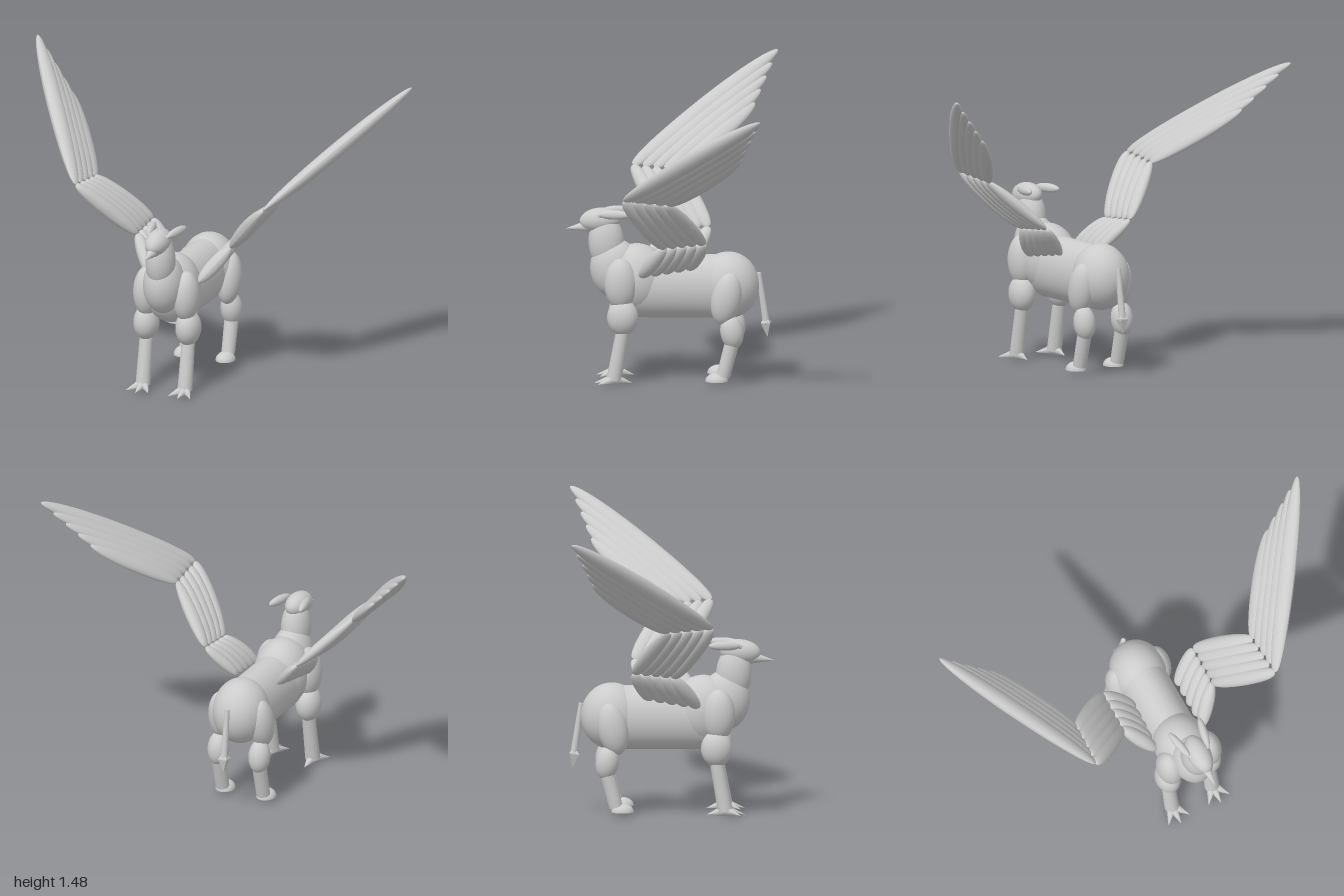
import * as THREE from 'three';

const V = (x, y, z) => new THREE.Vector3(x, y, z);
const UP = V(0, 1, 0);

export function createModel() {
  const model = new THREE.Group();
  model.name = 'wingedBeast';
  const grey = new THREE.MeshStandardMaterial({ color: 0xcccccc });
  const flat = new THREE.MeshStandardMaterial({ color: 0xcccccc, flatShading: true });

  const add = (name, geometry, material = grey) => {
    const mesh = new THREE.Mesh(geometry, material);
    mesh.name = name;
    model.add(mesh);
    return mesh;
  };

  // Ellipsoid with centre, radii and a tilt about x and y
  const blob = (name, c, r, tiltX = 0, tiltY = 0) => {
    const mesh = add(name, new THREE.SphereGeometry(1, 32, 24));
    mesh.scale.set(...r);
    mesh.position.set(...c);
    mesh.rotation.set(tiltX, tiltY, 0);
    return mesh;
  };

  // Round bar or cone between two points
  const bar = (name, a, b, ra, rb, sides = 24, material = grey) => {
    const from = V(...a), dir = V(...b).sub(from);
    const mesh = add(name, new THREE.CylinderGeometry(rb, ra, dir.length(), sides), material);
    mesh.position.copy(from).addScaledVector(dir, 0.5);
    mesh.quaternion.setFromUnitVectors(UP, dir.normalize());
    return mesh;
  };

  // Torso
  const torso = add('torso', new THREE.CylinderGeometry(1, 1, 1, 48).rotateX(Math.PI / 2));
  torso.scale.set(0.118, 0.158, 0.46);
  torso.position.set(0, 0.476, -0.08);
  blob('rump', [0, 0.482, -0.3], [0.137, 0.165, 0.152]);
  blob('chest', [0, 0.51, 0.15], [0.135, 0.175, 0.16]);
  blob('breast', [0, 0.56, 0.255], [0.1, 0.15, 0.125], 0.1);

  // Neck and head
  blob('neck', [0, 0.69, 0.3], [0.072, 0.14, 0.088], 0.05);
  blob('head', [0, 0.802, 0.33], [0.057, 0.06, 0.102], 0.1);
  bar('beak', [0, 0.772, 0.38], [0, 0.757, 0.5], 0.032, 0);

  // Tail with a pointed tuft
  bar('tail', [0, 0.545, -0.45], [0, 0.3, -0.485], 0.012, 0.018);
  const tuft = add('tailTuft', new THREE.ConeGeometry(0.033, 0.075, 4).rotateY(Math.PI / 4).rotateX(Math.PI), flat);
  tuft.position.set(0, 0.26, -0.488);
  tuft.rotation.x = 0.12;
  const cap = add('tailTuftTop', new THREE.ConeGeometry(0.033, 0.04, 4).rotateY(Math.PI / 4), flat);
  cap.position.set(0, 0.313, -0.482);
  cap.rotation.x = 0.12;

  // Flat feather between two points; its width follows the chord direction
  const feather = (name, a, b, chord, width, thick, bluntTip) => {
    const geometry = new THREE.SphereGeometry(1, 20, 32);
    const p = geometry.attributes.position;
    for (let i = 0; i < p.count; i++) {
      const t = p.getY(i);
      const blunt = t < 0 || bluntTip ? Math.pow(Math.max(1 - t * t, 1e-4), -0.15) : 1;
      p.setX(i, p.getX(i) * blunt);
    }
    geometry.computeVertexNormals();
    const dir = b.clone().sub(a), length = dir.length();
    dir.normalize();
    const across = chord.clone().addScaledVector(dir, -chord.dot(dir)).normalize();
    const normal = across.clone().cross(dir);
    const mesh = add(name, geometry);
    mesh.scale.set(width, length / 2, thick);
    mesh.position.copy(a).add(b).multiplyScalar(0.5);
    mesh.quaternion.setFromRotationMatrix(new THREE.Matrix4().makeBasis(across, dir, normal));
  };

  // Wing stations from body to tip: leading and trailing points
  const stations = [
    [[0.125, 0.54, 0.125], [0.115, 0.575, -0.11]],
    [[0.25, 0.705, 0], [0.25, 0.725, -0.19]],
    [[0.5, 0.985, 0.19], [0.49, 0.965, -0.02]],
    [[1, 1.475, -0.5], [0.78, 1.25, -0.395]],
  ];
  const wingParts = [
    { name: 'innerWingFeather', width: 0.037, thick: 0.036 },
    { name: 'middleWingFeather', width: 0.042, thick: 0.038 },
    { name: 'outerWingFeather', width: 0.052, thick: 0.036 },
  ];

  for (const s of [1, -1]) {
    const side = s > 0 ? 'left' : 'right';
    const at = (k, f) => {
      const [lead, trail] = stations[k].map((q) => V(s * q[0], q[1], q[2]));
      return lead.lerp(trail, f);
    };

    // Wing in three folded sections
    wingParts.forEach(({ name, width, thick }, k) => {
      const base = k === 2 ? 2 : k;
      const chord = at(base, 1).sub(at(base, 0));
      for (let i = 0; i < 5; i++) {
        const f = i / 4;
        feather(`${side}_${name}${i + 1}`, at(k, f), at(k + 1, f), chord, width, thick * (1 - 0.25 * f), k < 2);
      }
    });

    // Ear and eye
    blob(`${side}Ear`, [s * 0.068, 0.838, 0.255], [0.02, 0.023, 0.08], 0.03, -s * 0.2);
    blob(`${side}Eye`, [s * 0.045, 0.83, 0.33], [0.013, 0.012, 0.012]);

    // Front leg
    const fx = s * 0.112;
    blob(`${side}Shoulder`, [s * 0.105, 0.5, 0.225], [0.066, 0.127, 0.08]);
    blob(`${side}FrontThigh`, [fx, 0.335, 0.215], [0.062, 0.09, 0.077]);
    bar(`${side}FrontShin`, [fx, 0.28, 0.212], [fx, 0.025, 0.258], 0.033, 0.037);

    // Taloned foot: three toes forward, one back
    for (const angle of [-0.65, 0, 0.65, Math.PI]) {
      const reach = angle > 3 ? 0.09 : 0.1;
      const dx = Math.sin(angle), dz = Math.cos(angle);
      bar(`${side}Talon`, [fx + dx * 0.01, 0.026, 0.256 + dz * 0.01],
        [fx + dx * reach, 0.008, 0.256 + dz * reach], 0.026, 0, 8);
    }

    // Hind leg
    blob(`${side}Haunch`, [s * 0.11, 0.432, -0.295], [0.062, 0.132, 0.074], -0.2);
    blob(`${side}HindKnee`, [s * 0.112, 0.265, -0.322], [0.054, 0.085, 0.057], 0.15);
    bar(`${side}HindShin`, [s * 0.112, 0.22, -0.325], [s * 0.112, 0.045, -0.28], 0.036, 0.034);

    // Domed paw with a flat sole
    const paw = add(`${side}Paw`, new THREE.SphereGeometry(1, 32, 12, 0, Math.PI * 2, 0, Math.PI / 2));
    paw.scale.set(0.048, 0.042, 0.056);
    paw.position.set(s * 0.112, 0.02, -0.247);
    const sole = add(`${side}PawSole`, new THREE.CircleGeometry(1, 32).rotateX(Math.PI / 2));
    sole.scale.copy(paw.scale);
    sole.position.copy(paw.position);
  }

  return model;
}
